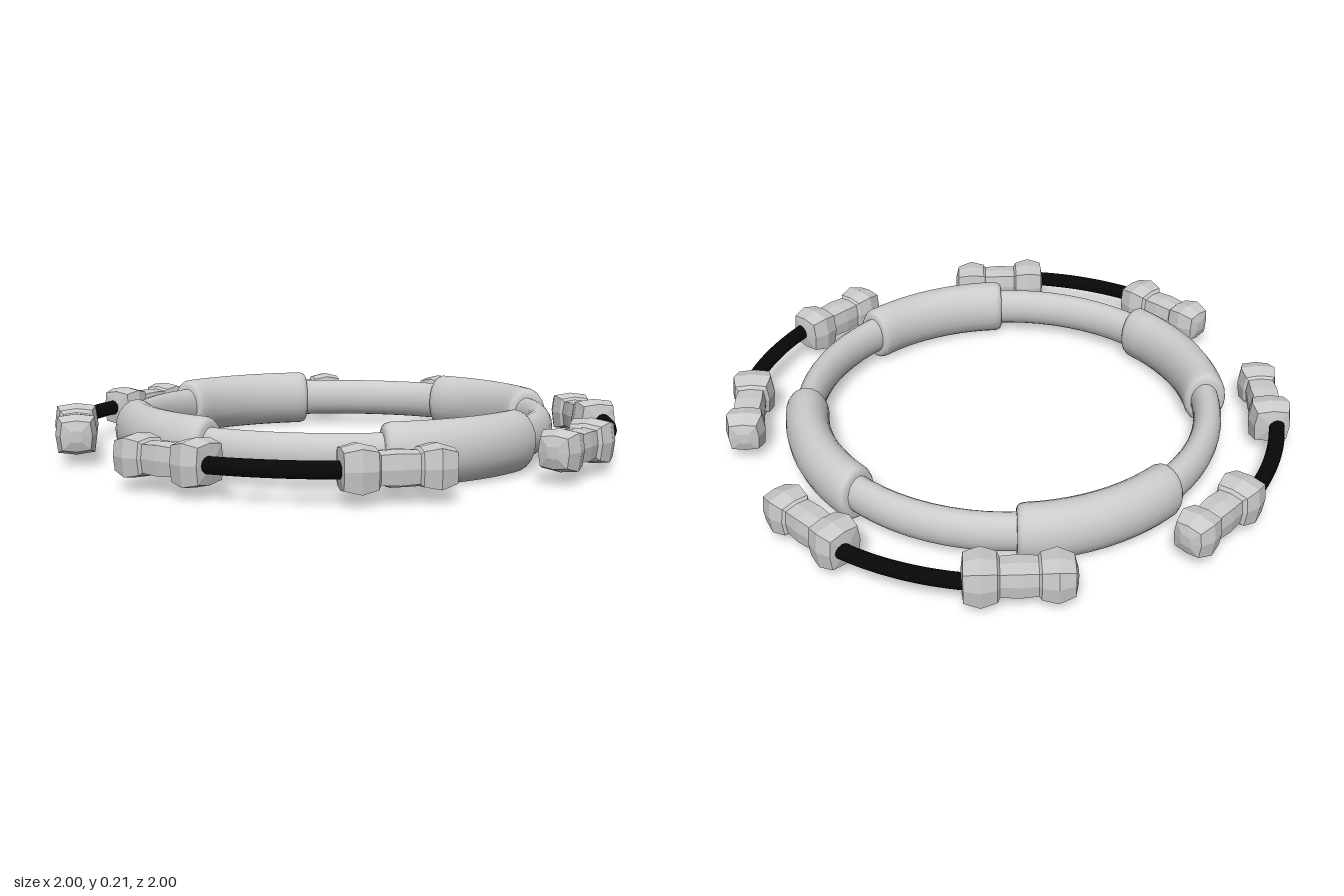
import * as THREE from 'three';
import { toCreasedNormals } from 'three/addons/utils/BufferGeometryUtils.js';

const CENTRE_Y = 0.105;

// Skin a row of equal-sized loops of Vector3 and close both ends.
function loft(loops) {
  const n = loops[0].length, pos = [], idx = [];
  loops.forEach(loop => loop.forEach(p => pos.push(p.x, p.y, p.z)));
  for (let i = 0; i < loops.length - 1; i++) {
    for (let j = 0; j < n; j++) {
      const a = i * n + j, b = i * n + (j + 1) % n;
      idx.push(a, b, b + n, a, b + n, a + n);
    }
  }
  [0, loops.length - 1].forEach((i, end) => {
    const c = new THREE.Vector3();
    loops[i].forEach(p => c.addScaledVector(p, 1 / n));
    const centre = pos.length / 3;
    pos.push(c.x, c.y, c.z);
    for (let j = 0; j < n; j++) {
      const a = i * n + j, b = i * n + (j + 1) % n;
      if (end) idx.push(centre, a, b); else idx.push(centre, b, a);
    }
  });
  const g = new THREE.BufferGeometry();
  g.setAttribute('position', new THREE.Float32BufferAttribute(pos, 3));
  g.setIndex(idx);
  return g;
}

// Thick oval sleeve bent along the ring, with softly rounded ends.
function gripGeometry() {
  const start = 22.6, span = 44.8, sides = 20;
  const stations = [[0, 0.8], [0.25, 0.89], [0.9, 0.96], [2, 1]];
  for (let i = 1; i < 10; i++) stations.push([2 + (span - 4) * i / 10, 1]);
  stations.push([span - 2, 1], [span - 0.9, 0.96], [span - 0.25, 0.89], [span, 0.8]);
  const loops = stations.map(([deg, s]) => {
    const t = THREE.MathUtils.degToRad(start + deg), loop = [];
    for (let j = 0; j < sides; j++) {
      const a = j / sides * Math.PI * 2;
      const r = 0.728 + 0.078 * s * Math.cos(a);
      loop.push(new THREE.Vector3(r * Math.cos(t), 0.105 * s * Math.sin(a), r * Math.sin(t)));
    }
    return loop;
  });
  return toCreasedNormals(loft(loops), 0.9);
}

// Two blunt, bulging blocks joined by a narrower neck; the rope enters at +z.
function clampGeometry() {
  const profile = [
    [-0.183, 0.02], [-0.173, 0.054], [-0.12, 0.071], [-0.068, 0.06], [-0.06, 0.051],
    [0, 0.055],
    [0.06, 0.051], [0.068, 0.064], [0.12, 0.077], [0.173, 0.064], [0.18, 0.02],
  ];
  const k = 0.88;
  const square = [[1, 0], [k, k], [0, 1], [-k, k], [-1, 0], [-k, -k], [0, -1], [k, -k]];
  return loft(profile.map(([z, h]) => square.map(([x, y]) => new THREE.Vector3(x * h, y * h, z))));
}

export function createModel() {
  const model = new THREE.Group();
  model.name = 'ropedRing';
  const grey = new THREE.MeshStandardMaterial({ color: 0xcccccc });
  const facetedGrey = new THREE.MeshStandardMaterial({ color: 0xcccccc, flatShading: true });
  const black = new THREE.MeshStandardMaterial({ color: 0x080808 });

  const add = (parent, name, geometry, material) => {
    const mesh = new THREE.Mesh(geometry, material);
    mesh.name = name;
    parent.add(mesh);
    return mesh;
  };

  // Main ring, oval in section
  const ringGeo = new THREE.TorusGeometry(0.725, 0.05, 20, 72);
  ringGeo.rotateX(Math.PI / 2).scale(1, 1.42, 1);
  add(model, 'mainRing', ringGeo, grey).position.y = CENTRE_Y;

  const gripGeo = gripGeometry();
  const clampGeo = clampGeometry();
  const ropeGeo = new THREE.TorusGeometry(0.972, 0.028, 12, 16, 0.44);
  ropeGeo.rotateZ(-0.22).rotateX(Math.PI / 2);

  // Each quarter carries a grip, a rope and a pair of clamps
  for (let q = 0; q < 4; q++) {
    const quarter = new THREE.Group();
    quarter.name = 'quarter';
    quarter.position.y = CENTRE_Y;
    quarter.rotation.y = q * Math.PI / 2;
    model.add(quarter);

    add(quarter, 'grip', gripGeo, grey);
    add(quarter, 'rope', ropeGeo, black);
    for (const side of [1, -1]) {
      const pivot = new THREE.Group();
      pivot.name = 'clampPivot';
      pivot.rotation.y = side * Math.PI / 8;
      quarter.add(pivot);
      const clamp = add(pivot, 'ropeClamp', clampGeo, facetedGrey);
      clamp.position.x = 0.94;
      if (side < 0) clamp.rotation.x = Math.PI;
    }
  }
  return model;
}
